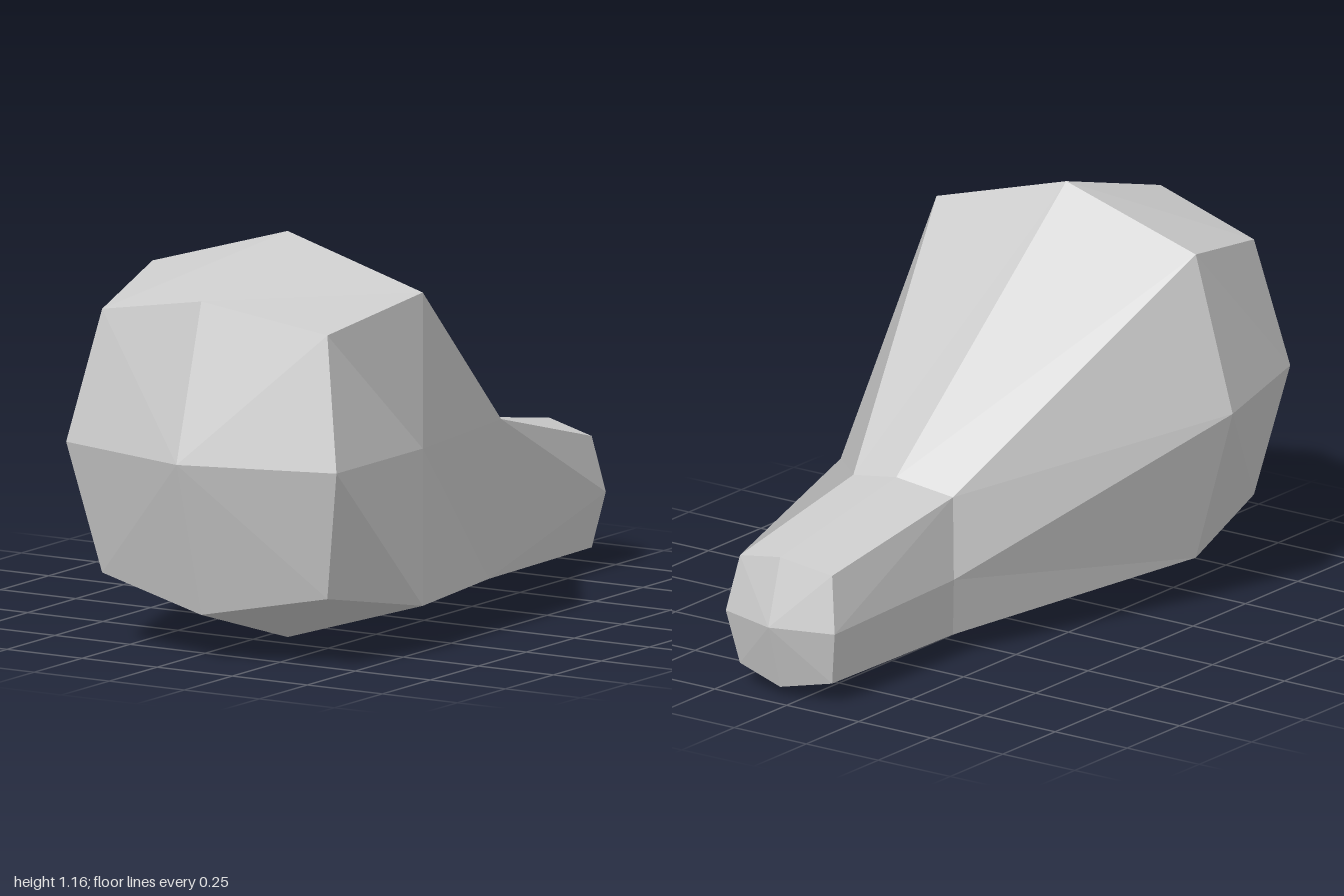
import * as THREE from 'three';

const CX = 0.064; // centre line of the body

// Eight points around a station: edge midpoints and corners, clockwise from the top as seen from the front.
// Corners sit inside the midpoints, giving the bevelled look.
function ring({ cy, midX, midTop, midBottom, midZ, cornX, cornTop, cornBottom, cornZ }) {
  return [
    [CX, midTop, midZ], [CX + cornX, cornTop, cornZ],
    [CX + midX, cy, midZ], [CX + cornX, cornBottom, cornZ],
    [CX, midBottom, midZ], [CX - cornX, cornBottom, cornZ],
    [CX - midX, cy, midZ], [CX - cornX, cornTop, cornZ],
  ];
}

export function createModel() {
  const group = new THREE.Group();
  const grey = new THREE.MeshStandardMaterial({ color: 0xcccccc, flatShading: true });
  grey.name = 'plain grey';

  // Stations from the bulky front to the narrow neck end
  const rings = [
    ring({ cy: 0.584, midX: 0.45, midTop: 1.03, midBottom: 0.135, midZ: 0.87, cornX: 0.375, cornTop: 0.96, cornBottom: 0.207, cornZ: 0.8 }),
    ring({ cy: 0.584, midX: 0.578, midTop: 1.16, midBottom: 0.0, midZ: 0.42, cornX: 0.45, cornTop: 1.03, cornBottom: 0.135, cornZ: 0.42 }),
    ring({ cy: 0.235, midX: 0.2, midTop: 0.5, midBottom: 0.027, midZ: -0.39, cornX: 0.173, cornTop: 0.465, cornBottom: 0.06, cornZ: -0.357 }),
    ring({ cy: 0.217, midX: 0.189, midTop: 0.41, midBottom: 0.027, midZ: -0.943, cornX: 0.16, cornTop: 0.378, cornBottom: 0.06, cornZ: -0.915 }),
  ];
  rings[1][2][0] = 0.514; // flattened left flank
  rings[2][2] = [0.262, 0.515, -0.383]; // raised lip on the left of the neck

  const addMesh = (name, triangles) => {
    const geometry = new THREE.BufferGeometry();
    geometry.setAttribute('position', new THREE.Float32BufferAttribute(triangles.flat(), 3));
    geometry.computeVertexNormals();
    const mesh = new THREE.Mesh(geometry, grey);
    mesh.name = name;
    group.add(mesh);
  };

  // Band of quads between two stations; flip picks the other diagonal
  const band = (front, back, flip) => {
    const out = [];
    for (let i = 0; i < 8; i++) {
      const j = (i + 1) % 8;
      const [a, b, c, d] = [front[i], front[j], back[j], back[i]];
      out.push(...(flip ? [a, b, d, b, c, d] : [a, b, c, a, c, d]));
    }
    return out;
  };

  // Domed cap: a fan from the centre point to a station
  const cap = (points, centre, facesBack) => {
    const out = [];
    for (let i = 0; i < 8; i++) {
      const a = points[i], b = points[(i + 1) % 8];
      out.push(...(facesBack ? [centre, a, b] : [centre, b, a]));
    }
    return out;
  };

  addMesh('frontCap', cap(rings[0], [CX, 0.584, 1], false));
  addMesh('frontBody', band(rings[0], rings[1], false));
  addMesh('taperedBody', band(rings[1], rings[2], false));
  addMesh('neck', band(rings[2], rings[3], true));
  addMesh('neckEnd', cap(rings[3], [CX, 0.217, -1], true));
  return group;
}
